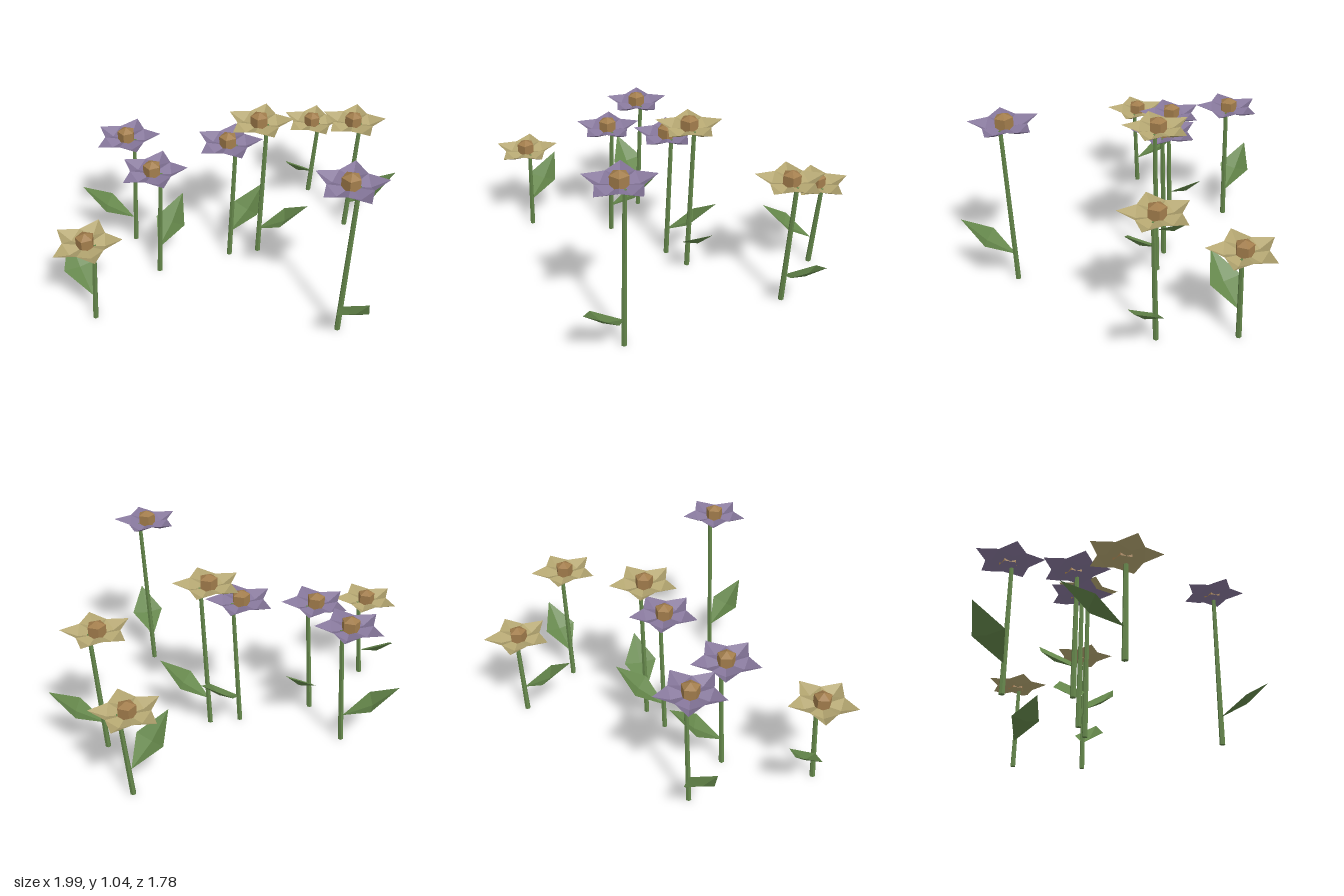
import * as THREE from 'three';

const mat = (name, color, side = THREE.FrontSide) => {
  const m = new THREE.MeshStandardMaterial({ color, flatShading: true, side });
  m.name = name;
  return m;
};

// Non-indexed geometry from a list of triangles made of [x, y, z] points
function fromTriangles(tris) {
  const g = new THREE.BufferGeometry();
  g.setAttribute('position', new THREE.Float32BufferAttribute(tris.flat(2), 3));
  g.computeVertexNormals();
  return g;
}

// Five-petal star, every petal folded along its middle
function blossomGeometry() {
  const at = (r, y, turn) => {
    const a = turn * Math.PI * 2 / 5;
    return [r * Math.cos(a), y, -r * Math.sin(a)];
  };
  const tris = [], centre = [0, 0.01, 0];
  for (let i = 0; i < 5; i++) {
    const n0 = at(0.122, 0.033, i - 0.5), n1 = at(0.122, 0.033, i + 0.5);
    const fold = at(0.1, 0, i), tip = at(0.193, 0.038, i);
    tris.push([centre, n0, fold], [centre, fold, n1], [fold, n0, tip], [fold, tip, n1]);
  }
  return fromTriangles(tris);
}

// Diamond leaf rising along +x, with a keel underneath
function leafGeometry() {
  const base = [0, 0.165, 0], tip = [0.295, 0.378, 0], keel = [0.16, 0.248, 0];
  const near = [0.145, 0.27, 0.096], far = [0.145, 0.27, -0.096];
  return fromTriangles([[base, near, keel], [keel, near, tip], [base, keel, far], [keel, tip, far]]);
}

// Five-sided button with a low pointed cap
function buttonGeometry() {
  const profile = [[0.05, 0], [0.05, 0.062], [0, 0.085]].map(p => new THREE.Vector2(...p));
  return new THREE.LatheGeometry(profile, 5).rotateY(-Math.PI / 2);
}

export function createModel() {
  const green = mat('leaf green', 0x64864a, THREE.DoubleSide);
  const purple = mat('petal purple', 0x85769a, THREE.DoubleSide);
  const cream = mat('petal cream', 0xb3a570, THREE.DoubleSide);
  const brown = mat('button brown', 0xa27d4c);
  const blossom = blossomGeometry(), leafGeo = leafGeometry(), button = buttonGeometry();
  const lean = 0.042;

  // x, z, head height, petal colour, leaf direction (x, z)
  const flowers = [
    [-0.625, -0.285, 0.717, purple, -0.295, -0.045],
    [-0.48, 0.03, 0.687, purple, 0.16, -0.25],
    [-0.055, -0.085, 0.775, purple, 0.22, -0.19],
    [0.12, -0.105, 0.885, cream, 0.285, 0.085],
    [0.53, -0.71, 0.508, cream, -0.195, 0.23],
    [0.70, -0.315, 0.732, cream, 0.29, 0],
    [-0.84, 0.395, 0.503, cream, -0.13, -0.27],
    [0.485, 0.605, 0.947, purple, 0.08, 0.28],
  ];

  const model = new THREE.Group();
  model.name = 'flowerPatch';
  for (const [x, z, h, petalMat, lx, lz] of flowers) {
    const flower = new THREE.Group();
    flower.name = 'flower';
    flower.position.set(x, 0, z);
    const add = (name, geo, material, y = 0) => {
      const m = new THREE.Mesh(geo, material);
      m.name = name;
      m.position.y = y;
      flower.add(m);
      return m;
    };

    // Stem leans toward +x as it rises
    const stemGeo = new THREE.CylinderGeometry(0.012, 0.016, h + 0.008, 6);
    stemGeo.translate(0, (h + 0.008) / 2, 0);
    const p = stemGeo.attributes.position;
    for (let i = 0; i < p.count; i++) p.setX(i, p.getX(i) + lean * p.getY(i) / h);
    add('stem', stemGeo, green);

    add('leaf', leafGeo, green).rotation.y = Math.atan2(-lz, lx);
    add('petals', blossom, petalMat, h);
    add('button', button, brown, h + 0.005);
    model.add(flower);
  }
  return model;
}
